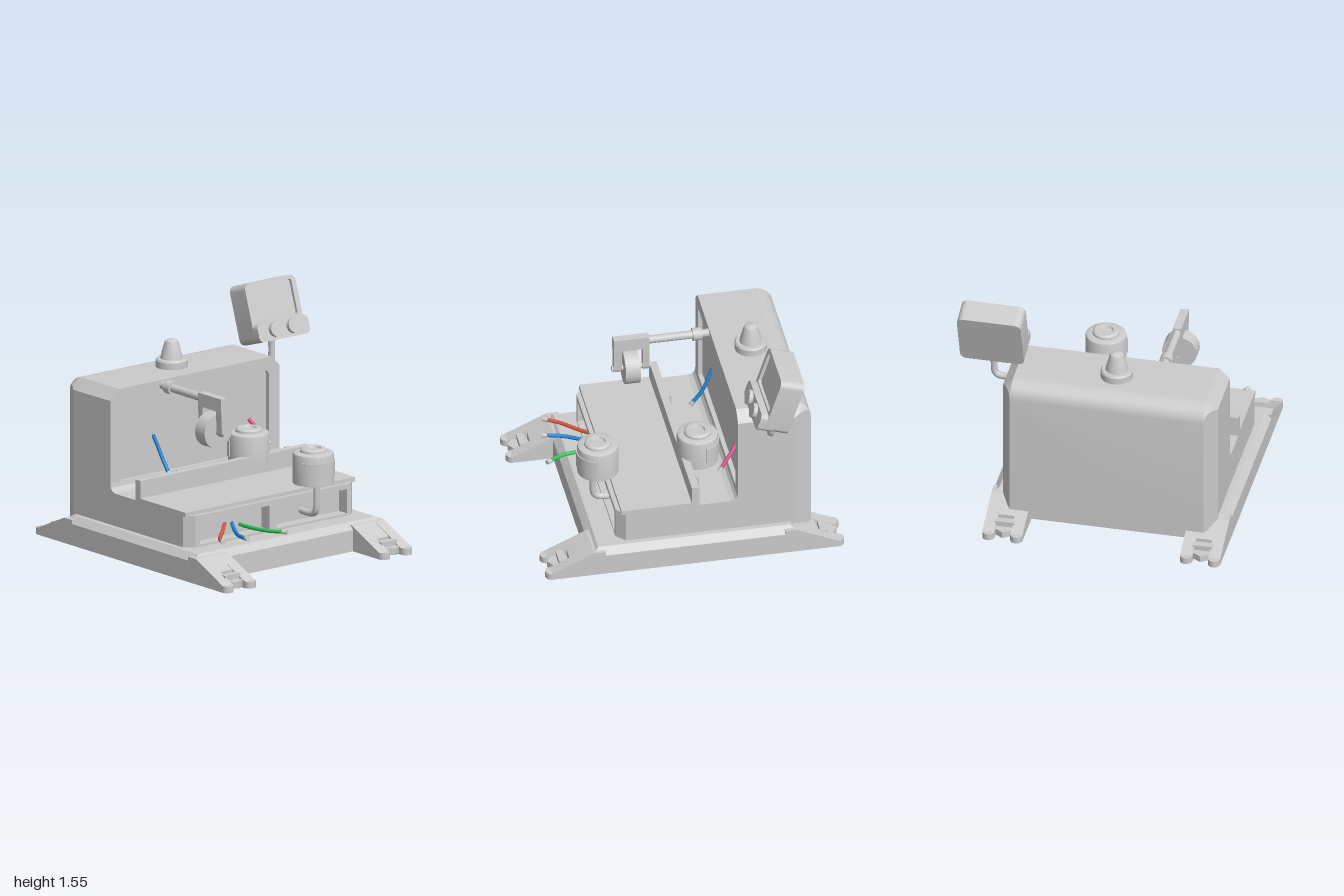
import * as THREE from 'three';
import { toCreasedNormals } from 'three/addons/utils/BufferGeometryUtils.js';

const CX = -0.12; // centre line of the machine body
const V = (x, y, z) => new THREE.Vector3(x, y, z);
const paint = (color = 0xcccccc) => new THREE.MeshStandardMaterial({ color });
const grey = paint();

function add(parent, name, geo, x = 0, y = 0, z = 0, mat = grey) {
  const m = new THREE.Mesh(geo, mat);
  m.name = name;
  m.position.set(x, y, z);
  parent.add(m);
  return m;
}
function group(parent, name, x = 0, y = 0, z = 0) {
  const g = new THREE.Group();
  g.name = name;
  g.position.set(x, y, z);
  parent.add(g);
  return g;
}
const shapeOf = pts => new THREE.Shape(pts.map(p => new THREE.Vector2(...p)));
const extrude = (shape, depth) => new THREE.ExtrudeGeometry(shape, { depth, bevelEnabled: false, curveSegments: 8 });
// (z, y) profile drawn across x, centred
const sideProfile = (pts, width) => extrude(shapeOf(pts), width).translate(0, 0, -width / 2).rotateY(-Math.PI / 2);
// (x, z) outline raised along y
const planProfile = (pts, h) => extrude(shapeOf(pts.map(([x, z]) => [x, -z])), h).rotateX(-Math.PI / 2);
// box given by its limits
function box(parent, name, x0, x1, y0, y1, z0, z1) {
  return add(parent, name, new THREE.BoxGeometry(x1 - x0, y1 - y0, z1 - z0), (x0 + x1) / 2, (y0 + y1) / 2, (z0 + z1) / 2);
}
const lathe = pts => toCreasedNormals(new THREE.LatheGeometry(pts.map(p => new THREE.Vector2(...p)), 40), 0.5);
const cylZ = (r, len) => new THREE.CylinderGeometry(r, r, len, 32).rotateX(Math.PI / 2);
const tube = (pts, r) => new THREE.TubeGeometry(new THREE.CatmullRomCurve3(pts, false, 'centripetal'), 28, r, 12);
function roundRect(w, h, r) {
  const s = new THREE.Shape(), a = w / 2 - r, b = h / 2 - r, q = Math.PI / 2;
  s.absarc(a, b, r, 0, q);
  s.absarc(-a, b, r, q, 2 * q);
  s.absarc(-a, -b, r, 2 * q, 3 * q);
  s.absarc(a, -b, r, 3 * q, 4 * q);
  return s;
}

// Solid from equal-length loops, each counter-clockwise from the front and ordered front to back
function loft(loops, crease) {
  const n = loops[0].length, idx = [];
  for (let k = 0; k < loops.length - 1; k++) {
    for (let i = 0; i < n; i++) {
      const j = (i + 1) % n, a = k * n, b = a + n;
      idx.push(a + i, b + i, b + j, a + i, b + j, a + j);
    }
  }
  const e = (loops.length - 1) * n;
  for (let i = 1; i < n - 1; i++) idx.push(0, i, i + 1, e, e + i + 1, e + i);
  const g = new THREE.BufferGeometry();
  g.setAttribute('position', new THREE.Float32BufferAttribute(loops.flat(2), 3));
  g.setIndex(idx);
  return toCreasedNormals(g, crease);
}

// Chamfered plate with four forked, bolted feet
function buildBase(root) {
  const g = group(root, 'base', CX);
  const ring = (w, d, y) => [[-w, -d, y], [w, -d, y], [w, d, y], [-w, d, y]];
  const plate = [ring(0.8, 0.69, 0), ring(0.8, 0.69, 0.145), ring(0.755, 0.645, 0.19)].reverse();
  add(g, 'basePlate', loft(plate, 0.1).rotateX(-Math.PI / 2));
  for (const sx of [-1, 1]) for (const sz of [-1, 1]) {
    const foot = group(g, 'foot', sx * 0.665);
    foot.rotation.y = sz > 0 ? 0 : Math.PI;
    add(foot, 'footRamp', sideProfile([[0.6, 0], [0.86, 0], [0.86, 0.05], [0.83, 0.055], [0.83, 0.1], [0.68, 0.172], [0.6, 0.172]], 0.11));
    for (const s of [-1, 1]) {
      const x = s * 0.094;
      add(foot, 'footProng', sideProfile([[0.6, 0], [0.96, 0], [0.96, 0.045], [0.68, 0.172], [0.6, 0.172]], 0.082), x);
      add(foot, 'prongTip', new THREE.CylinderGeometry(0.041, 0.041, 0.045, 24), x, 0.0225, 0.959);
    }
    add(foot, 'boltHead', planProfile([[-0.065, 0.85], [0.065, 0.85], [0.065, 0.93], [0, 0.97], [-0.065, 0.93]], 0.045), 0, 0.01);
    add(foot, 'boltRidge', new THREE.BoxGeometry(0.13, 0.035, 0.05), 0, 0.072, 0.875);
  }
}

// Cabinet with two open bays, deck with fence
function buildCabinet(root) {
  const g = group(root, 'cabinet', CX);
  box(g, 'cabinetBody', -0.72, 0.72, 0.17, 0.405, -0.4, 0.43);
  box(g, 'bottomRail', -0.64, 0.64, 0.17, 0.205, 0.42, 0.51);
  box(g, 'topRail', -0.64, 0.64, 0.37, 0.405, 0.42, 0.51);
  box(g, 'middlePost', -0.033, 0.033, 0.19, 0.39, 0.42, 0.51);
  for (const s of [-1, 1]) {
    add(g, 'cornerPost', planProfile([[s * 0.625, 0.42], [s * 0.72, 0.42], [s * 0.72, 0.45], [s * 0.66, 0.51], [s * 0.625, 0.51]], 0.235), 0, 0.17);
    box(g, 'fenceTab', s * 0.46 + 0.1, s * 0.46 + 0.14, 0.41, 0.55, -0.06, -0.03).position.x = s * 0.46 + 0.12;
  }
  add(g, 'deck', sideProfile([[0.48, 0.4], [0.48, 0.43], [0.01, 0.43], [0.01, 0.55], [-0.04, 0.55], [-0.04, 0.41],
    [-0.25, 0.41], [-0.28, 0.42], [-0.295, 0.44], [-0.3, 0.47], [-0.35, 0.47], [-0.35, 0.4]], 1.44));
}

// Rear housing: rounded top back edge, chamfered corners, recessed front panel
function buildHousing(root) {
  const g = group(root, 'housing', CX);
  const section = (z, top, c, y0) => [[-0.65 - c, y0], [0.65 + c, y0], [0.65 + c, top - c], [0.65, top], [-0.65, top], [-0.65 - c, top - c]].map(([x, y]) => [x, y, z]);
  const loops = [section(-0.33, 1.1, 0.07, 0.13)];
  for (let i = 0; i <= 8; i++) {
    const a = i / 8 * Math.PI / 2;
    loops.push(section(-0.68 - 0.12 * Math.sin(a), 0.98 + 0.12 * Math.cos(a), 0.07 * (1 - Math.sin(a)) + 0.002, 0.13));
  }
  add(g, 'housingShell', loft(loops, 0.4));
  const frame = shapeOf(section(0, 1.1, 0.07, 0.19));
  frame.holes.push(new THREE.Path([[-0.63, 0.47], [-0.63, 0.99], [-0.61, 1.01], [0.61, 1.01], [0.63, 0.99], [0.63, 0.47]].map(p => new THREE.Vector2(...p))));
  add(g, 'frontFrame', extrude(frame, 0.03), 0, 0, -0.33);
  add(g, 'beacon', lathe([[0, 1.09], [0.107, 1.09], [0.107, 1.145], [0.098, 1.157], [0.075, 1.157], [0.07, 1.18],
    [0.05, 1.255], [0.043, 1.273], [0.025, 1.283], [0, 1.286]]), -0.01, 0, -0.53);
}

// Tilted display on a bent arm
function buildDisplay(root) {
  add(root, 'displayArm', tube([V(0.56, 0.975, -0.505), V(0.64, 0.975, -0.505), V(0.675, 0.982, -0.505), V(0.695, 1.005, -0.505), V(0.7, 1.04, -0.505), V(0.7, 1.17, -0.505)], 0.023));
  const g = group(root, 'display', 0.7, 1.335, -0.547);
  g.rotation.x = -Math.PI / 10;
  const soft = geo => toCreasedNormals(geo, 0.5);
  add(g, 'displayCase', soft(extrude(roundRect(0.43, 0.4, 0.045), 0.145)), 0, 0, -0.0825);
  const bezel = roundRect(0.43, 0.4, 0.045);
  bezel.holes.push(new THREE.Path(roundRect(0.355, 0.235, 0.015).getPoints(6)).closePath ? new THREE.Path(roundRect(0.355, 0.235, 0.015).getPoints(6).map(p => p.setY(p.y + 0.055))) : null);
  add(g, 'screenBezel', soft(extrude(bezel, 0.02)), 0, 0, 0.0625);
  add(g, 'controlPanel', soft(extrude(roundRect(0.43, 0.125, 0.035), 0.11)), 0, -0.1375, 0.0225);
  for (const s of [-1, 1]) add(g, 'knob', cylZ(0.05, 0.03), s * 0.076, -0.13, 0.145);
}

// Wheel carried by a fork on a rod
function buildWheelArm(root) {
  const g = group(root, 'wheelArm', -0.395);
  add(g, 'rod', cylZ(0.027, 0.5), 0, 1.063, -0.1);
  add(g, 'collar', cylZ(0.043, 0.06), 0, 1.063, -0.22);
  box(g, 'forkBridge', -0.028, 0.028, 1.01, 1.1, 0.1, 0.34);
  for (const [z0, z1] of [[0.285, 0.34], [0.1, 0.145]]) {
    const arm = shapeOf([[-0.028, 1.1], [-0.028, 1.02], [-0.022, 0.86], [-0.014, 0.84], [0.014, 0.84], [0.022, 0.86], [0.028, 1.02], [0.028, 1.1]]);
    add(g, 'forkArm', extrude(arm, z1 - z0), 0, 0, z0);
  }
  add(g, 'axle', cylZ(0.02, 0.258), 0, 0.862, 0.221);
  add(g, 'wheel', toCreasedNormals(new THREE.CylinderGeometry(0.116, 0.116, 0.1, 48).rotateX(Math.PI / 2), 0.5), 0, 0.867, 0.225);
}

// Capped round unit with a wrapped band; dir is the side the band faces
function buildDrum(root, name, z, dir) {
  const g = group(root, name, 0.182, 0, z);
  add(g, 'drumBody', lathe([[0, 0.483], [0.136, 0.483], [0.136, 0.672], [0.132, 0.685], [0.118, 0.692], [0.09, 0.694], [0.088, 0.708], [0.075, 0.718],
    [0.05, 0.718], [0.043, 0.705], [0, 0.705]]));
  const band = new THREE.Shape();
  band.absarc(0, 0, 0.143, -1.3, 1.3, false);
  band.absarc(0, 0, 0.13, 1.3, -1.3, true);
  const geo = toCreasedNormals(new THREE.ExtrudeGeometry(band, { depth: 0.11, bevelEnabled: false, curveSegments: 20 }), 0.5);
  geo.rotateX(-Math.PI / 2).rotateY(-dir * Math.PI / 2);
  add(g, 'drumBand', geo, 0, 0.53, 0);
}

function buildWire(root, color, pts) {
  const g = group(root, 'wire');
  const end = pts[pts.length - 1], d = end.clone().sub(pts[pts.length - 2]).normalize();
  add(g, 'wireLead', tube(pts, 0.013), 0, 0, 0, paint(color));
  const tip = add(g, 'wireTip', new THREE.CylinderGeometry(0.016, 0.016, 0.035, 12), ...end.clone().addScaledVector(d, 0.008).toArray());
  tip.quaternion.setFromUnitVectors(V(0, 1, 0), d);
}

export function createModel() {
  const root = new THREE.Group();
  root.name = 'machine';
  buildBase(root);
  buildCabinet(root);
  buildHousing(root);
  buildDisplay(root);
  buildWheelArm(root);
  buildDrum(root, 'frontDrum', 0.557, 1);
  buildDrum(root, 'rearDrum', -0.11, -1);
  add(root, 'frontDrumStem', tube([V(0.182, 0.5, 0.59), V(0.182, 0.33, 0.59), V(0.182, 0.295, 0.583), V(0.182, 0.272, 0.56), V(0.182, 0.265, 0.53), V(0.182, 0.265, 0.42)], 0.022));
  add(root, 'rearDrumStem', new THREE.CylinderGeometry(0.022, 0.022, 0.1, 20), 0.182, 0.45, -0.147);
  buildWire(root, 0xd9573c, [V(-0.46, 0.285, 0.42), V(-0.56, 0.265, 0.52), V(-0.68, 0.26, 0.64), V(-0.725, 0.265, 0.72)]);
  buildWire(root, 0x1f86d6, [V(-0.4, 0.28, 0.42), V(-0.46, 0.262, 0.52), V(-0.53, 0.26, 0.65), V(-0.555, 0.265, 0.76)]);
  buildWire(root, 0x2fc455, [V(-0.34, 0.26, 0.42), V(-0.34, 0.26, 0.55), V(-0.315, 0.265, 0.7), V(-0.262, 0.268, 0.79)]);
  buildWire(root, 0x1f86d6, [V(-0.45, 0.73, -0.335), V(-0.435, 0.66, -0.305), V(-0.425, 0.57, -0.26), V(-0.425, 0.49, -0.2)]);
  buildWire(root, 0xe0508c, [V(0.36, 0.7, -0.335), V(0.385, 0.66, -0.305), V(0.41, 0.61, -0.26), V(0.43, 0.56, -0.22)]);
  return root;
}
